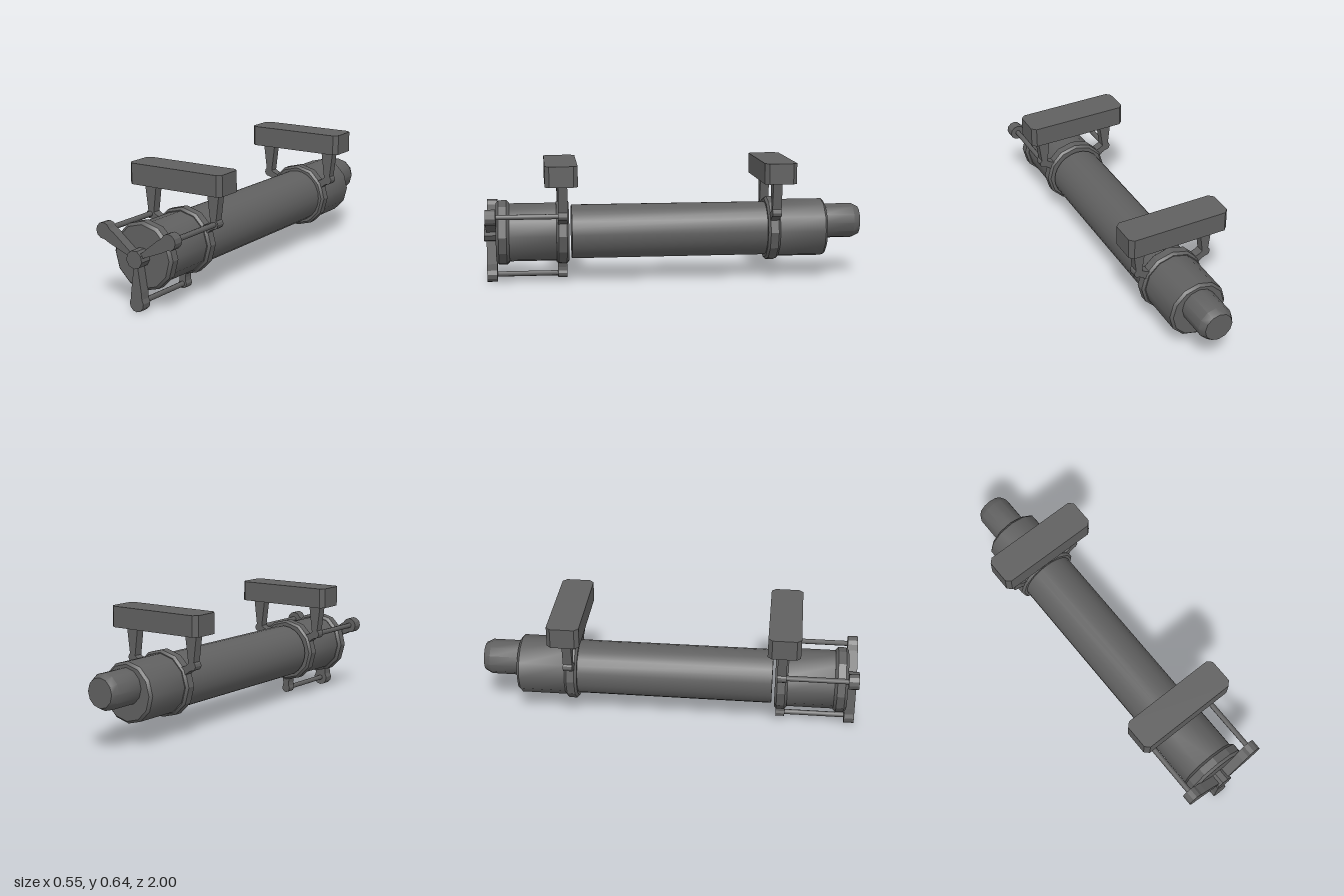
import * as THREE from 'three';
import { toCreasedNormals } from 'three/addons/utils/BufferGeometryUtils.js';

const AXIS = 0.264;   // height of the tube axis
const REACH = 0.222;  // distance of the rods from the axis

export function createModel() {
  const model = new THREE.Group();
  const metal = new THREE.MeshStandardMaterial({ color: 0x606060 });
  metal.name = 'dark grey metal';

  const add = (name, geometry, parent = model) => {
    const mesh = new THREE.Mesh(geometry, metal);
    mesh.name = name;
    parent.add(mesh);
    return mesh;
  };

  // Closed turned solid along z; profile is [radius, z] from back to front
  const turned = (name, profile, sides, crease, y = AXIS) => {
    const pts = [[0, profile[0][1]], ...profile, [0, profile[profile.length - 1][1]]];
    const g = new THREE.LatheGeometry(pts.map(([r, z]) => new THREE.Vector2(r, z)), sides);
    g.rotateX(Math.PI / 2);
    const mesh = add(name, toCreasedNormals(g, crease));
    mesh.position.y = y;
    return mesh;
  };

  // Flat outline in x and y, extruded from z0 to z1
  const plate = (points, z0, z1) => {
    const shape = new THREE.Shape(points.map(([x, y]) => new THREE.Vector2(x, y)));
    return new THREE.ExtrudeGeometry(shape, { depth: z1 - z0, bevelEnabled: false }).translate(0, 0, z0);
  };

  // Spoke pointing down from the axis, ending in a rounded knob
  const spoke = (inner, innerHalf, neckHalf, knob) => {
    const pts = [[-innerHalf, -inner], [-neckHalf, -REACH + knob * 1.45]];
    for (let i = 0; i <= 8; i++) {
      const a = Math.PI * (0.79 + i * 1.42 / 8);
      pts.push([Math.cos(a) * knob, -REACH + Math.sin(a) * knob]);
    }
    pts.push([neckHalf, -REACH + knob * 1.45], [innerHalf, -inner]);
    return pts;
  };

  // Tube and stepped housings
  turned('mainTube', [[0.143, -0.5], [0.143, 0.543]], 24, 0.6);
  turned('rearHousing', [[0.142, -0.81], [0.155, -0.797], [0.155, -0.53]], 12, 0.6);
  turned('frontHousing', [[0.155, 0.58], [0.155, 0.88]], 12, 0.6);
  turned('tailStub', [[0.075, -1], [0.093, -0.965], [0.093, -0.8]], 12, 0.6, 0.297);

  // Chamfered collars
  const collar = (name, z0, z1, c) => turned(name,
    [[0.172 - c, z0], [0.172, z0 + c], [0.172, z1 - c], [0.172 - c, z1]], 12, 0.4);
  collar('rearCollar', -0.553, -0.487, 0.012);
  collar('middleCollar', 0.558, 0.624, 0.012);
  collar('frontCap', 0.868, 0.937, 0.014);

  // Three-armed front handle with centre hub
  turned('hub', [[0.046, 0.93], [0.046, 1]], 9, 0.4);
  for (let i = 0; i < 3; i++) {
    const arm = new THREE.Group();
    arm.name = 'handleArm' + (i + 1);
    arm.position.y = AXIS;
    arm.rotation.z = i * Math.PI * 2 / 3;
    model.add(arm);
    add('spoke', plate(spoke(0, 0.006, 0.03, 0.041), 0.934, 0.988), arm);
    const rod = new THREE.CylinderGeometry(0.014, 0.014, 0.37, 8).rotateX(Math.PI / 2);
    add('rod', rod, arm).position.set(0, -REACH, 0.76);
    add('lug', plate(spoke(0.15, 0.024, 0.018, 0.024), 0.568, 0.616), arm);
    // The rear collar carries only the two upper lugs
    if (i > 0) add('rearLug', plate(spoke(0.15, 0.024, 0.018, 0.024), -0.545, -0.497), arm);
  }

  // Two mounts: chamfered block on a pair of tapered hangers
  for (const [name, zBlock, zHanger] of [['frontMount', 0.599, 0.592], ['rearMount', -0.53, -0.521]]) {
    const mount = new THREE.Group();
    mount.name = name;
    model.add(mount);
    const w = 0.274, d = 0.084, c = 0.022;
    const outline = [[-w, -d + c], [-w + c, -d], [w - c, -d], [w, -d + c],
      [w, d - c], [w - c, d], [-w + c, d], [-w, d - c]];
    const block = plate(outline, 0, 0.107).rotateX(-Math.PI / 2);
    add('block', block, mount).position.set(0, 0.534, zBlock);
    for (const s of [-1, 1]) {
      const hanger = plate([[-0.015, 0.375], [0.015, 0.375], [0.036, 0.54], [-0.036, 0.54]], -0.024, 0.024);
      add(s > 0 ? 'leftHanger' : 'rightHanger', hanger, mount).position.set(s * 0.188, 0, zHanger);
    }
  }
  return model;
}
